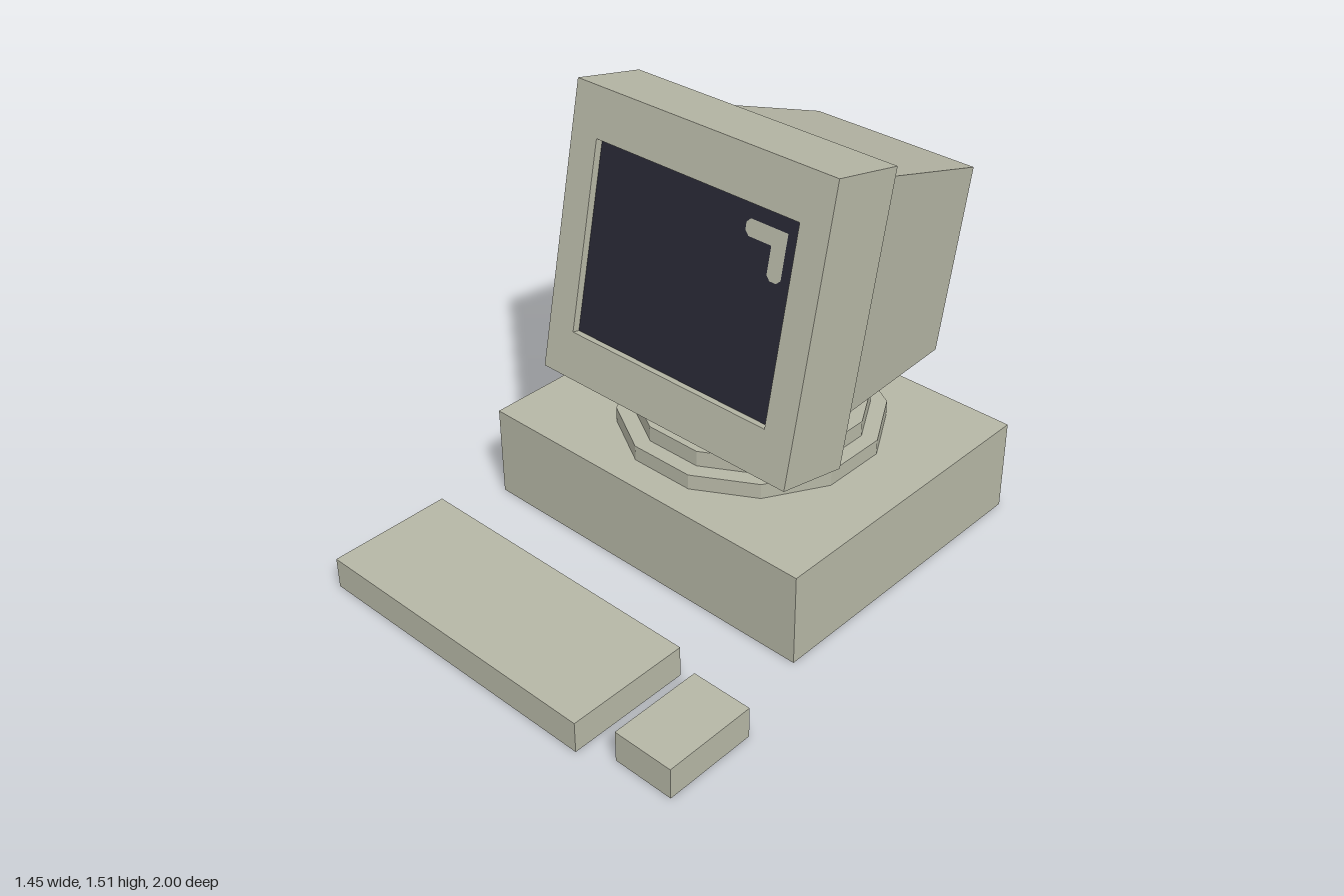
import * as THREE from 'three';

const CX = -0.057;              // shared centre of base, swivel and monitor
const CZ = -0.278;

export function createModel() {
  const model = new THREE.Group();
  model.name = 'desktopComputer';

  const plastic = new THREE.MeshStandardMaterial({ color: 0xb5b6a5, flatShading: true });
  plastic.name = 'beigePlastic';
  const glass = new THREE.MeshStandardMaterial({ color: 0x272733, flatShading: true });
  glass.name = 'darkScreen';

  const add = (parent, name, geometry, material, x, y, z) => {
    const mesh = new THREE.Mesh(geometry, material);
    mesh.name = name;
    mesh.position.set(x, y, z);
    parent.add(mesh);
    return mesh;
  };
  // Box given by its centre in plan and its bottom height
  const block = (name, w, h, d, x, y, z) =>
    add(model, name, new THREE.BoxGeometry(w, h, d), plastic, x, y + h / 2, z);

  // Computer case, keyboard and mouse
  block('computerCase', 1.335, 0.335, 1.112, CX, 0, CZ);
  block('keyboard', 1.115, 0.112, 0.445, -0.1675, 0, 0.7775);
  block('mouse', 0.22, 0.112, 0.335, 0.61, 0, 0.777);

  // Twelve-sided swivel discs with flats facing the axes
  const disc = (name, halfWidth, y0, y1) => {
    const r = halfWidth / Math.cos(Math.PI / 12);
    const geometry = new THREE.CylinderGeometry(r, r, y1 - y0, 12, 1, false, Math.PI / 12);
    add(model, name, geometry, plastic, CX, (y0 + y1) / 2, CZ);
  };
  disc('swivelLower', 0.445, 0.335, 0.39);
  disc('swivelUpper', 0.39, 0.39, 0.447);
  block('monitorNeck', 0.166, 0.13, 0.166, CX, 0.447, -0.274);

  // Monitor, tilted back; its origin is the bottom edge of the front face
  const monitor = new THREE.Group();
  monitor.name = 'monitor';
  monitor.position.set(CX, 0.535, 0.18);
  monitor.rotation.x = -THREE.MathUtils.degToRad(12);
  model.add(monitor);

  const rect = (Type, x, y0, y1) => new Type([
    new THREE.Vector2(-x, y0), new THREE.Vector2(x, y0),
    new THREE.Vector2(x, y1), new THREE.Vector2(-x, y1),
  ]);

  // Bezel with a screen opening
  const frame = rect(THREE.Shape, 0.5285, 0, 0.997);
  frame.holes.push(rect(THREE.Path, 0.4175, 0.164, 0.829));
  add(monitor, 'bezel', new THREE.ExtrudeGeometry(frame, { depth: 0.278, bevelEnabled: false }),
    plastic, 0, 0, -0.278);

  // Recessed screen
  add(monitor, 'screen', new THREE.PlaneGeometry(0.835, 0.665), glass, 0, 0.4965, -0.027);

  // Corner glint on the screen, with clipped ends
  const glint = new THREE.Shape([
    [0.207, 0.732], [0.222, 0.717], [0.312, 0.717], [0.312, 0.624], [0.326, 0.609],
    [0.352, 0.609], [0.367, 0.624], [0.367, 0.773], [0.222, 0.773], [0.207, 0.758],
  ].map(([x, y]) => new THREE.Vector2(x, y)));
  add(monitor, 'screenGlint', new THREE.ShapeGeometry(glint), plastic, 0, 0, -0.024);

  // Rear housing tapering towards the back
  const housing = new THREE.BoxGeometry(0.854, 0.85, 0.751);
  const p = housing.attributes.position;
  for (let i = 0; i < p.count; i++) {
    if (p.getZ(i) < 0) p.setXY(i, p.getX(i) * 0.78, p.getY(i) * 0.782);
  }
  housing.computeVertexNormals();
  add(monitor, 'rearHousing', housing, plastic, 0, 0.498, -0.6535);

  return model;
}
